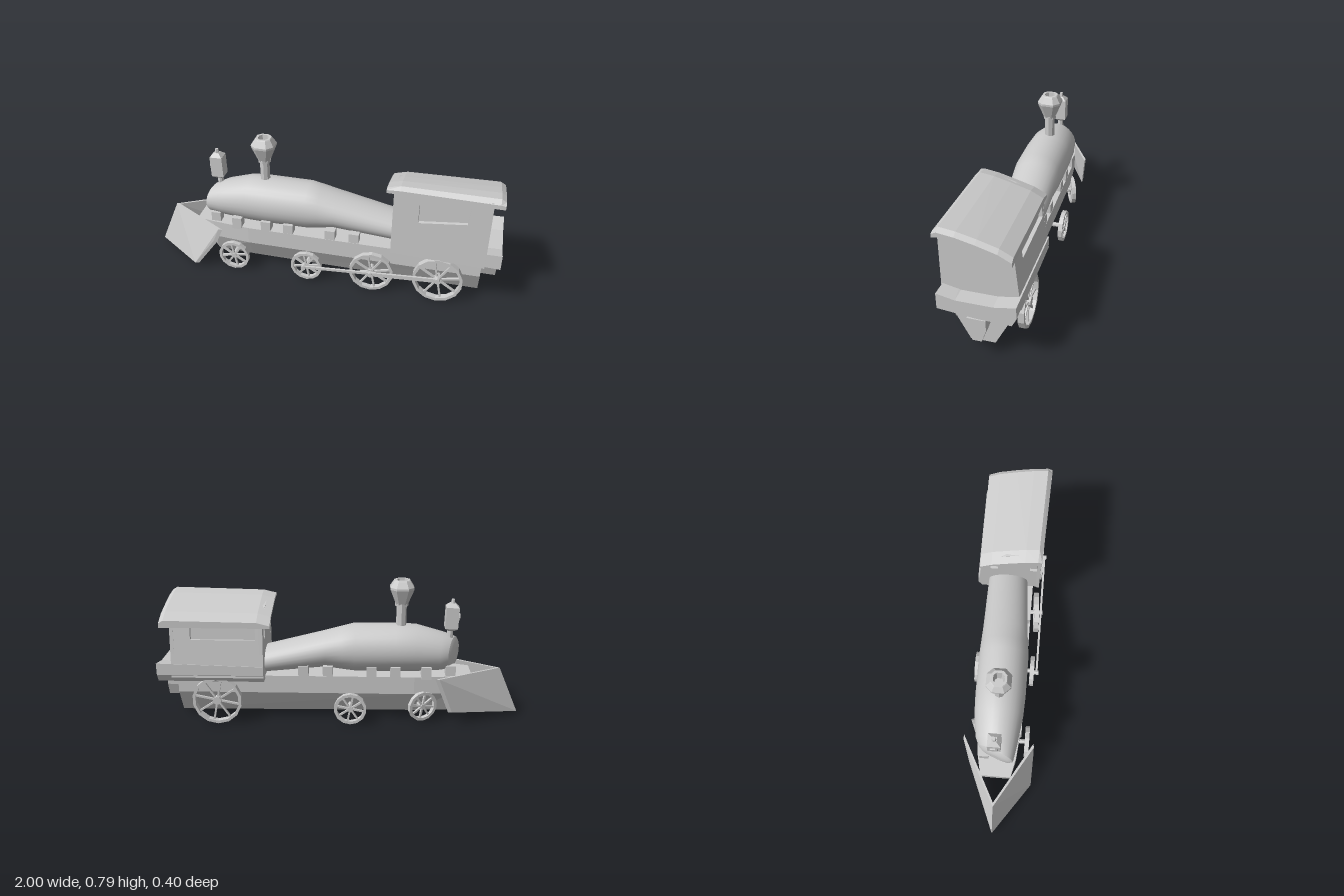
import * as THREE from 'three';
import { ConvexGeometry } from 'three/addons/geometries/ConvexGeometry.js';

const flat = new THREE.MeshStandardMaterial({ color: 0xcccccc, flatShading: true });
const smooth = new THREE.MeshStandardMaterial({ color: 0xcccccc });

function add(parent, name, geometry, x = 0, y = 0, z = 0, material = flat) {
  const mesh = new THREE.Mesh(geometry, material);
  mesh.name = name;
  mesh.position.set(x, y, z);
  parent.add(mesh);
  return mesh;
}

// Skin over cross-sections [x, [[z, y], ...]]; each ring runs towards +z along its top
function loft(sections) {
  const pos = [], idx = [], n = sections[0][1].length;
  const push = ([x, ring]) => ring.forEach(([z, y]) => pos.push(x, y, z));
  sections.forEach(push);
  for (let i = 0; i < sections.length - 1; i++) {
    for (let j = 0; j < n; j++) {
      const a = i * n + j, b = i * n + (j + 1) % n;
      idx.push(a, b, a + n, b, b + n, a + n);
    }
  }
  // End caps with their own vertices
  [[sections[0], 1], [sections[sections.length - 1], -1]].forEach(([sec, dir]) => {
    const base = pos.length / 3;
    push(sec);
    const pts = sec[1].map(([z, y]) => new THREE.Vector2(z, y));
    for (const [a, b, c] of THREE.ShapeUtils.triangulateShape(pts, [])) {
      const ccw = pts[b].clone().sub(pts[a]).cross(pts[c].clone().sub(pts[a])) * dir > 0;
      idx.push(base + a, base + (ccw ? b : c), base + (ccw ? c : b));
    }
  });
  const g = new THREE.BufferGeometry();
  g.setAttribute('position', new THREE.Float32BufferAttribute(pos, 3));
  g.setIndex(idx);
  g.computeVertexNormals();
  return g;
}

// Flat plate with window holes, in its own x-y plane
function plate(points, holes, depth) {
  const vec = (list) => list.map(([x, y]) => new THREE.Vector2(x, y));
  const shape = new THREE.Shape(vec(points));
  holes.forEach((h) => shape.holes.push(new THREE.Path(vec(h))));
  return new THREE.ExtrudeGeometry(shape, { depth, bevelEnabled: false });
}

const convex = (points) => new ConvexGeometry(points.map((p) => new THREE.Vector3(...p)));

// Elliptical skin from stations of x, bottom, top, half width, z centre; the nose is skewed to face slightly right
function boilerSkin(stations) {
  const g = loft(stations.map(([x, lo, hi, w, zc]) => {
    const ring = [];
    for (let i = 0; i < 28; i++) {
      const a = (i / 28) * Math.PI * 2;
      ring.push([zc + w * Math.sin(a), (lo + hi) / 2 + (hi - lo) / 2 * Math.cos(a)]);
    }
    return [x, ring];
  }));
  const p = g.attributes.position;
  for (let i = 0; i < p.count; i++) {
    const k = THREE.MathUtils.clamp((-0.5 - p.getX(i)) / 0.12, 0, 1);
    p.setX(i, p.getX(i) - 0.38 * k * p.getZ(i));
  }
  g.computeVertexNormals();
  return g;
}

// Spoked wheel with a stub axle reaching inwards; h is half the rim's width
function wheel(parent, name, x, y, z, r, h, turn = 0) {
  const g = new THREE.Group();
  g.name = name;
  g.position.set(x, y, z);
  g.rotation.y = turn;
  const t = 0.016;
  const profile = [[r - t, -h], [r, -h], [r, h], [r - t, h], [r - t, -h]];
  add(g, 'rim', new THREE.LatheGeometry(profile.map((p) => new THREE.Vector2(...p)), 14)).rotation.x = Math.PI / 2;
  add(g, 'hub', new THREE.CylinderGeometry(r * 0.17, r * 0.17, 2 * h, 10)).rotation.x = Math.PI / 2;
  for (let i = 0; i < 4; i++) {
    add(g, 'spokes', new THREE.BoxGeometry(2 * r - t, 0.01, 0.012)).rotation.z = i * Math.PI / 4 + 0.2;
  }
  add(g, 'axle', new THREE.CylinderGeometry(0.013, 0.013, 0.1, 8), 0, 0, -Math.sign(z) * 0.05).rotation.x = Math.PI / 2;
  parent.add(g);
}

// Bar between two points of the x-y plane
function rod(parent, name, x1, y1, x2, y2, z, h) {
  const len = Math.hypot(x2 - x1, y2 - y1);
  add(parent, name, new THREE.BoxGeometry(len, h, 0.012), (x1 + x2) / 2, (y1 + y2) / 2, z)
    .rotation.z = Math.atan2(y2 - y1, x2 - x1);
}

export function createModel() {
  const model = new THREE.Group();
  model.name = 'steamLocomotive';

  // Chassis with sloping lower sides
  const chassisRing = (w, top, knee, bw, bottom) =>
    [[-w, top], [w, top], [w, knee], [bw, bottom], [-bw, bottom], [-w, knee]];
  add(model, 'chassis', loft([
    [-0.72, chassisRing(0.082, 0.265, 0.235, 0.05, 0.22)],
    [-0.615, chassisRing(0.105, 0.27, 0.17, 0.055, 0.05)],
    [-0.4, chassisRing(0.125, 0.27, 0.17, 0.06, 0.045)],
    [0.905, chassisRing(0.13, 0.27, 0.17, 0.062, 0.035)],
  ]));

  // Boiler with a shallow domed door at the front
  const front = [-0.62, 0.292, 0.465, 0.095, -0.005];
  add(model, 'boiler', boilerSkin([
    front, [-0.56, 0.28, 0.492, 0.112, -0.008], [-0.41, 0.27, 0.535, 0.132, -0.005],
    [-0.3, 0.268, 0.54, 0.137, -0.005], [-0.07, 0.27, 0.538, 0.137, -0.005],
    [0, 0.28, 0.52, 0.132, -0.007], [0.09, 0.295, 0.495, 0.125, -0.01], [0.43, 0.265, 0.41, 0.112, -0.02],
  ]), 0, 0, 0, smooth);
  add(model, 'boilerDoor', boilerSkin([
    [-0.638, 0.34, 0.41, 0.038, -0.005], [-0.633, 0.31, 0.445, 0.075, -0.005], front,
  ]), 0, 0, 0, smooth);

  // Boiler brackets along both sides
  for (const x of [-0.6, -0.465, -0.295, -0.165, 0.075, 0.21]) {
    for (const s of [-1, 1]) {
      add(model, 'boilerBracket', new THREE.BoxGeometry(0.055, 0.07, 0.05), x, 0.29, s * (x < -0.5 ? 0.07 : 0.1));
    }
  }

  // Chimney: round stack under a square funnel with cut corners and a hollow top
  const chimney = new THREE.Group();
  chimney.name = 'chimney';
  chimney.position.set(-0.325, 0, -0.008);
  add(chimney, 'stack', new THREE.CylinderGeometry(0.028, 0.028, 0.17, 8), 0, 0.57, 0);
  add(chimney, 'stackCollar', new THREE.CylinderGeometry(0.037, 0.037, 0.015, 8), 0, 0.652, 0);
  const cutSquare = (w) => {
    const c = w * 0.5;
    return [[-c, w], [c, w], [w, c], [w, -c], [c, -w], [-c, -w], [-w, -c], [-w, c]];
  };
  add(chimney, 'funnel', loft([[0.65, 0.03], [0.74, 0.064], [0.752, 0.064], [0.785, 0.044], [0.79, 0.04], [0.79, 0.028], [0.72, 0.022]]
    .map(([h, w]) => [h, cutSquare(w)]))).rotation.z = Math.PI / 2;
  model.add(chimney);

  // Headlamp on a post
  const lamp = new THREE.Group();
  lamp.name = 'headlamp';
  lamp.position.set(-0.6, 0, -0.01);
  lamp.rotation.z = 0.03;
  add(lamp, 'lampPost', new THREE.CylinderGeometry(0.014, 0.02, 0.08, 8), 0.02, 0.49, 0);
  add(lamp, 'lampBody', new THREE.BoxGeometry(0.07, 0.12, 0.068), 0.017, 0.582, 0);
  add(lamp, 'lampFoot', new THREE.CylinderGeometry(0.048, 0.025, 0.015, 4), 0.017, 0.515, 0).rotation.y = Math.PI / 4;
  add(lamp, 'lampRoof', new THREE.CylinderGeometry(0.02, 0.048, 0.02, 4), 0.017, 0.652, 0).rotation.y = Math.PI / 4;
  add(lamp, 'lampCap', new THREE.CylinderGeometry(0.009, 0.013, 0.025, 6), 0.017, 0.672, 0);
  add(lamp, 'lampLens', new THREE.CylinderGeometry(0.022, 0.022, 0.012, 10), -0.02, 0.585, 0).rotation.z = Math.PI / 2;
  model.add(lamp);

  // Plough: two raked blades, open behind
  const blade = (ends) => {
    const outer = [[-1, 0.02, 0], [-0.885, 0.285, 0], ...ends];
    return convex([...outer, ...outer.map(([x, y, z]) => [x + 0.022, y, z * 0.985])]);
  };
  add(model, 'ploughBladeLeft', blade([[-0.55, 0.285, 0.198], [-0.585, 0.2, 0.2], [-0.715, 0.022, 0.2]]));
  add(model, 'ploughBladeRight', blade([[-0.53, 0.285, -0.192], [-0.61, 0.08, -0.165]]));

  // Cab floor tray, open at the rear platform
  const tray = (e, low, w) => [[-0.197, e], [-0.09, e - 0.02], [0.09, e - 0.02], [w, e], [w, low],
    [-0.01, 0.255], [-0.175, 0.252], [-0.197, 0.295]];
  add(model, 'cabFloor', loft([[0.42, tray(0.345, 0.285, 0.16)], [1, tray(0.36, 0.275, 0.182)]]));

  // Cab core behind the wall plates
  const core = (w) => [[-0.14, 0.58], [0.04, 0.635], [w, 0.655], [w, 0.29], [-0.16, 0.29]];
  add(model, 'cabCore', loft([[0.435, core(0.143)], [0.9, core(0.163)]]));

  // Side walls with window openings; the left one closes in towards the front
  add(model, 'cabWallLeft', plate([[0.42, 0.27], [0.92, 0.27], [0.92, 0.675], [0.42, 0.655]],
    [[[0.555, 0.49], [0.805, 0.525], [0.815, 0.63], [0.555, 0.6]]], 0.02), 0, 0, 0.125).rotation.y = -0.045;
  add(model, 'cabWallRight', plate([[0.42, -0.06], [0.92, -0.06], [0.92, 0.235], [0.42, 0.235]],
    [[[0.46, 0.15], [0.81, 0.15], [0.81, 0.215], [0.46, 0.215]]], 0.02), 0, 0.34, -0.19).rotation.x = 0.11;

  // End walls; the front one has two narrow windows
  const endWall = (w) => [[0.03, 0.642], [-0.05, 0.66], [-w, 0.67], [-w, 0.28], [0.19, 0.28],
    [0.188, 0.35], [0.176, 0.475], [0.165, 0.585]];
  const slit = (z) => [[-z - 0.022, 0.48], [-z + 0.022, 0.48], [-z + 0.022, 0.565], [-z - 0.022, 0.565]];
  add(model, 'cabWallFront', plate(endWall(0.16), [slit(-0.1), slit(0.125)], 0.02), 0.42, 0, 0).rotation.y = Math.PI / 2;
  add(model, 'cabWallRear', plate(endWall(0.182), [], 0.02), 0.9, 0, 0).rotation.y = Math.PI / 2;

  // Lopsided curved roof, low on the right side and narrower in front
  const roofLine = [[-0.174, 0.574], [-0.11, 0.608], [-0.01, 0.638], [0.085, 0.661], [0.165, 0.672], [0.19, 0.665]];
  const roofRing = (rise, width) => {
    const line = roofLine.map(([z, y]) => [z > 0 ? z * width : z, y]);
    return [
      ...line.map(([z, y], i) => [z, y + rise * (i === 5 ? 0.3 : 1)]),
      ...line.map(([z, y]) => [z, y - 0.018]).reverse(),
    ];
  };
  add(model, 'cabRoof', loft([[0.38, roofRing(-0.004, 0.88)], [0.45, roofRing(0.014, 0.9)],
    [0.95, roofRing(0.021, 1)], [0.975, roofRing(0.006, 1)]]));

  // Rear coupler block
  const coupler = [[-0.048, 0.24], [0.044, 0.24], [0.044, 0.18], [0.02, 0.112], [-0.025, 0.112], [-0.048, 0.18]];
  add(model, 'coupler', loft([[0.89, coupler], [0.99, coupler]]));

  // Wheels: four on the left, three on the right
  wheel(model, 'frontWheelLeft', -0.48, 0.095, 0.16, 0.09, 0.012);
  wheel(model, 'middleWheelLeft', -0.05, 0.095, 0.16, 0.09, 0.012);
  wheel(model, 'driveWheelLeft', 0.32, 0.122, 0.16, 0.122, 0.014, 0.06);
  wheel(model, 'rearWheelLeft', 0.685, 0.137, 0.163, 0.137, 0.017);
  wheel(model, 'frontWheelRight', -0.45, 0.1, -0.125, 0.085, 0.012, 0.42);
  wheel(model, 'middleWheelRight', -0.05, 0.095, -0.165, 0.09, 0.012);
  wheel(model, 'rearWheelRight', 0.685, 0.137, -0.162, 0.137, 0.017);

  // Drive rods on the left
  rod(model, 'mainRod', -0.07, 0.102, 0.69, 0.152, 0.188, 0.014);
  rod(model, 'couplingRod', 0.3, 0.118, 0.69, 0.142, 0.188, 0.014);
  for (const [x, y] of [[-0.06, 0.1], [0.32, 0.122], [0.685, 0.147]]) {
    add(model, 'crankPin', new THREE.CylinderGeometry(0.014, 0.014, 0.04, 8), x, y, 0.18).rotation.x = Math.PI / 2;
  }

  return model;
}
